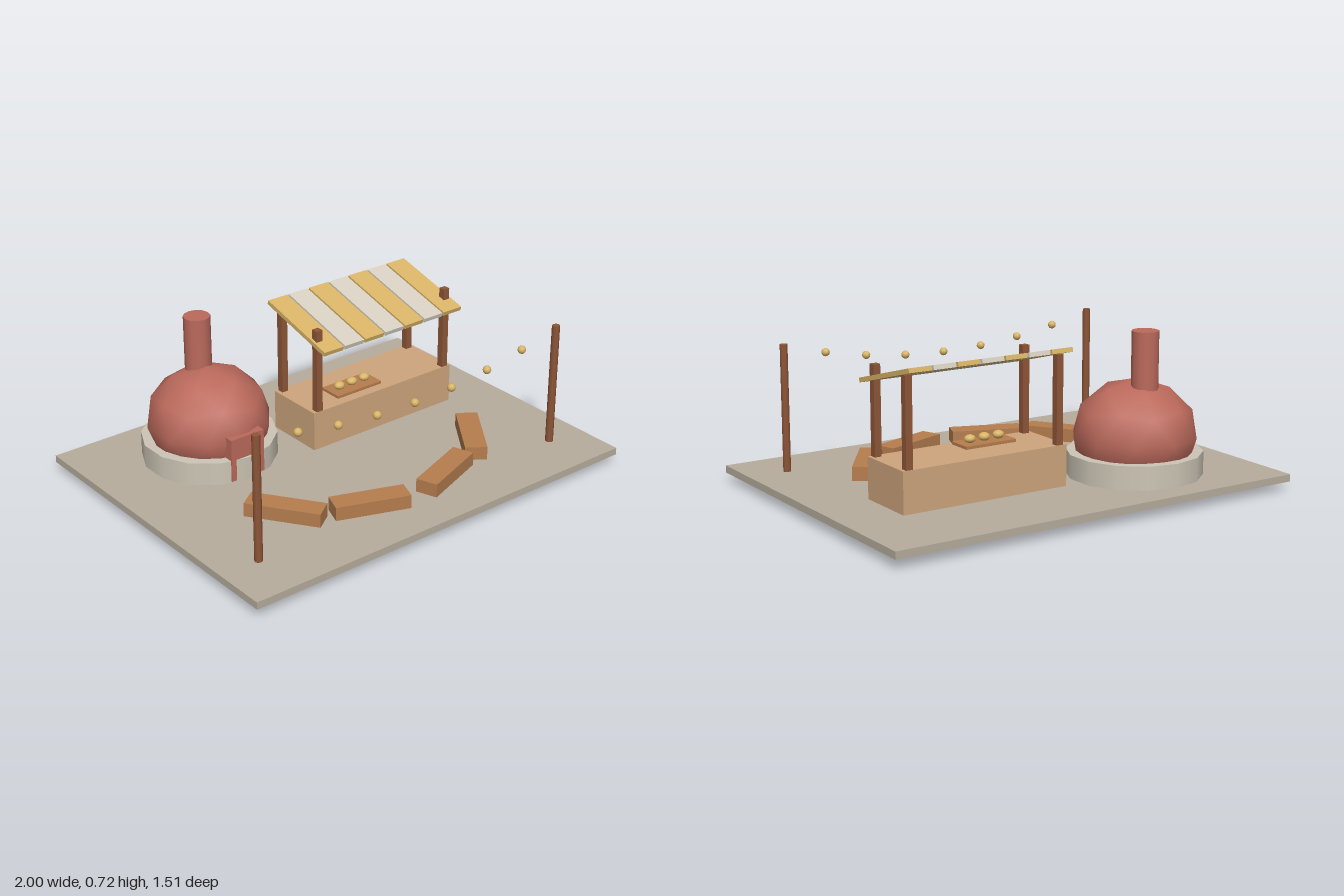
import * as THREE from 'three';

const mat = (name, color) => {
  const m = new THREE.MeshStandardMaterial({ color });
  m.name = name;
  return m;
};

// Unit icosphere with one vertex straight up, smooth shaded when detail is 1
function poleIcosphere(detail) {
  const h = 1 / Math.sqrt(5), r = 2 / Math.sqrt(5);
  const verts = [0, 1, 0], faces = [];
  for (const [y, offset] of [[h, 0], [-h, Math.PI / 5]]) {
    for (let i = 0; i < 5; i++) {
      const a = offset + i * Math.PI * 0.4;
      verts.push(r * Math.cos(a), y, r * Math.sin(a));
    }
  }
  verts.push(0, -1, 0);
  for (let i = 0; i < 5; i++) {
    const j = (i + 1) % 5;
    const u = 1 + i, un = 1 + j, l = 6 + i, ln = 6 + j;
    faces.push(0, un, u, u, un, l, l, un, ln, l, ln, 11);
  }
  return new THREE.PolyhedronGeometry(verts, faces, 1, detail);
}

export function createModel() {
  const root = new THREE.Group();
  root.name = 'ovenCourtyard';

  const paving = mat('paving', 0xb6ad9d);
  const stone = mat('stone', 0xcdc6b6);
  const clay = mat('clay', 0xbc6a5c);
  const lightWood = mat('lightWood', 0xcda57d);
  const benchWood = mat('benchWood', 0xb57d4e);
  const darkWood = mat('darkWood', 0x8e5638);
  const golden = mat('golden', 0xd9b566);
  const cream = mat('cream', 0xd8d1c2);

  const group = (name) => {
    const g = new THREE.Group();
    g.name = name;
    root.add(g);
    return g;
  };
  const add = (parent, name, geo, material, x, y, z) => {
    const m = new THREE.Mesh(geo, material);
    m.name = name;
    m.position.set(x, y, z);
    parent.add(m);
    return m;
  };
  const box = (w, h, d) => new THREE.BoxGeometry(w, h, d);
  const ball = poleIcosphere(1);

  // Ground slab
  add(root, 'groundSlab', box(2, 0.033, 1.51), paving, 0, 0.0575, 0);

  // Domed oven: stone ring, clay dome whose tip passes through the slab, chimney, door
  const oven = group('oven');
  add(oven, 'ovenBase', new THREE.CylinderGeometry(0.303, 0.303, 0.107, 14), stone, -0.447, 0.1265, -0.35);
  add(oven, 'ovenDome', ball, clay, -0.447, 0.25, -0.35).scale.set(0.28, 0.25, 0.28);
  add(oven, 'chimney', new THREE.CylinderGeometry(0.06, 0.06, 0.3, 12), clay, -0.447, 0.57, -0.415);
  add(oven, 'ovenDoor', box(0.172, 0.2, 0.045), clay, -0.445, 0.18, -0.083);

  // Market stall: counter, four posts, sloping striped roof
  const stall = group('stall');
  add(stall, 'counter', box(0.806, 0.184, 0.29), lightWood, 0.332, 0.166, -0.219);
  for (const x of [-0.037, 0.703]) {
    for (const z of [-0.092, -0.346]) {
      add(stall, 'stallPost', box(0.032, 0.575, 0.032), darkWood, x, 0.3625, z);
    }
  }
  for (let i = 0; i < 7; i++) {
    const slat = add(stall, 'roofSlat', box(0.106, 0.02, 0.42), i % 2 ? cream : golden,
      0.333 + (i - 3) * 0.115, 0.624, -0.21);
    slat.rotation.x = 0.264;
  }

  // Bread board with three loaves
  add(stall, 'breadBoard', box(0.252, 0.013, 0.115), benchWood, 0.222, 0.27, -0.171);
  for (const x of [0.15, 0.222, 0.294]) {
    add(stall, 'loaf', ball, golden, x, 0.293, -0.171).scale.set(0.027, 0.019, 0.024);
  }

  // Arc of four benches, mirrored left and right
  const benches = group('benches');
  for (const side of [-1, 1]) {
    for (const [x, z, deg] of [[0.524, 0.31, 55], [0.211, 0.484, 20]]) {
      const bench = add(benches, 'bench', box(0.335, 0.062, 0.1), benchWood, side * x, 0.109, z);
      bench.rotation.y = side * THREE.MathUtils.degToRad(deg);
    }
  }

  // Lamp poles with a sagging row of lamps between them
  const lamps = group('lampRow');
  for (const x of [-0.815, 0.815]) {
    add(lamps, 'lampPole', new THREE.CylinderGeometry(0.018, 0.018, 0.572, 8), darkWood, x, 0.359, 0.515);
  }
  for (let i = -3; i <= 3; i++) {
    const x = i * 0.2035;
    add(lamps, 'lamp', ball, golden, x, 0.524 + 0.17 * x * x, 0.515).scale.setScalar(0.019);
  }

  return root;
}
